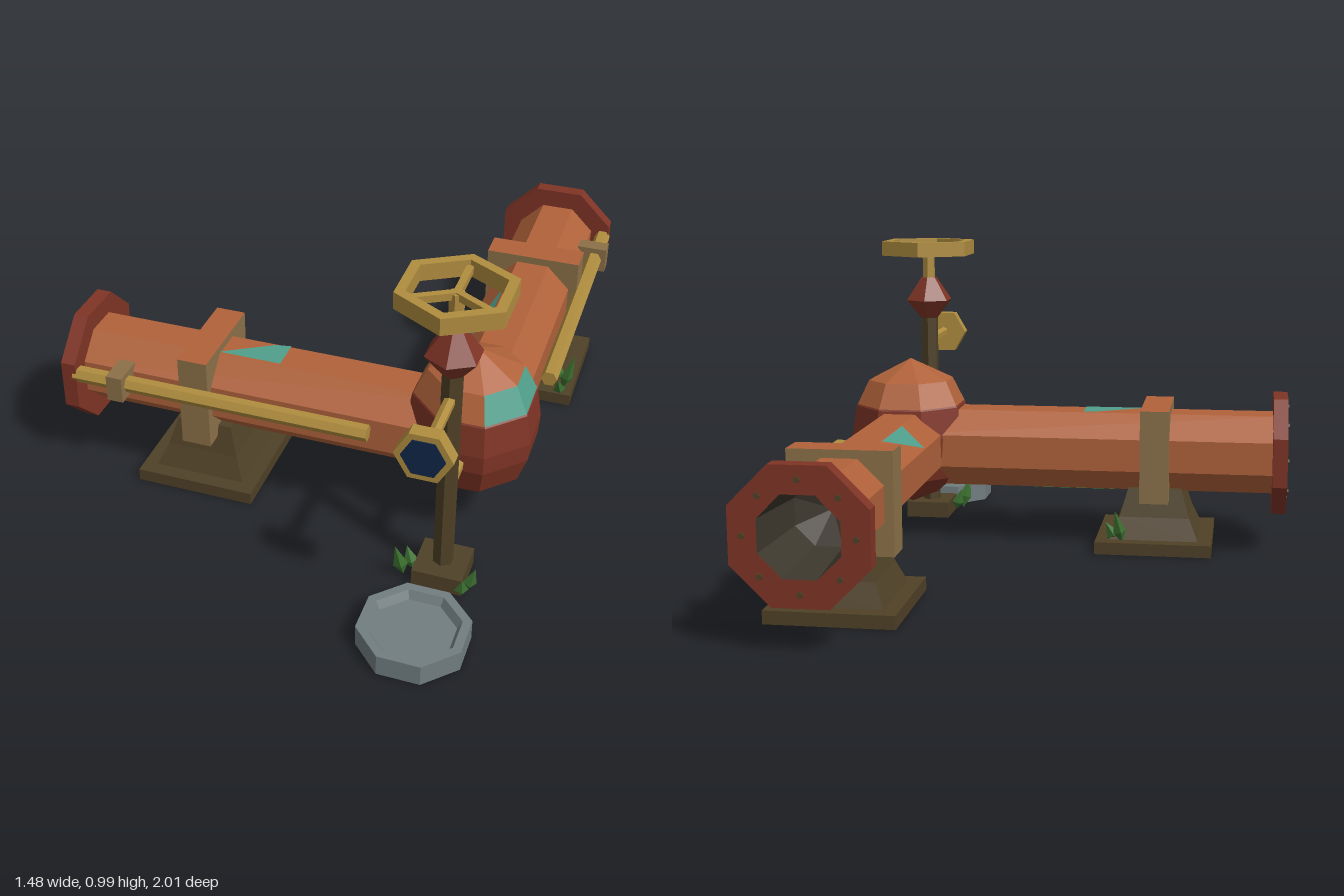
import * as THREE from 'three';

const mat = (name, color, side = THREE.FrontSide) =>
  new THREE.MeshStandardMaterial({ name, color, side, flatShading: true });

export function createModel() {
  const M = {
    copper: mat('copper', 0xb0623a),
    rust: mat('rustRed', 0x7f3425),
    brass: mat('brass', 0xb08d3f),
    tan: mat('tanIron', 0x8c7149),
    dark: mat('darkIron', 0x4f4127),
    bore: mat('boreShadow', 0x3d382d),
    stone: mat('greyStone', 0x717d80),
    glass: mat('navyGlass', 0x0f2748),
    leaf: mat('leafGreen', 0x3c7030, THREE.DoubleSide),
    patina: mat('patinaTeal', 0x509f8c, THREE.DoubleSide),
  };
  const model = new THREE.Group();
  model.name = 'pipeCorner';

  const OCT = 1 / Math.cos(Math.PI / 8); // apothem to corner radius
  const CX = 0.525, CZ = 0.265, CY = 0.318; // centre of the joint
  const AP = 0.128; // pipe apothem

  const add = (parent, name, geo, material, x = 0, y = 0, z = 0) => {
    const m = new THREE.Mesh(geo, material);
    m.name = name;
    m.position.set(x, y, z);
    parent.add(m);
    return m;
  };
  const box = (w, h, d) => new THREE.BoxGeometry(w, h, d);
  const cyl = (r, h, n = 6, r2 = r) => new THREE.CylinderGeometry(r2, r, h, n);
  // Eight-sided lathe with flats facing the axes; profile is [apothem, height]
  const oct = (pts, start = 0, faces = 8) => new THREE.LatheGeometry(
    pts.map(([a, y]) => new THREE.Vector2(a * OCT, y)), faces,
    Math.PI / 8 + start * Math.PI / 4, faces * Math.PI / 4);
  // Square stack; profile is [half width, height]
  const square = (pts) => new THREE.LatheGeometry(
    pts.map(([a, y]) => new THREE.Vector2(a * Math.SQRT2, y)), 4, Math.PI / 4);

  // One pipe run, leaving the joint along local -x, rod on the given side
  const pipeRun = (name, side) => {
    const g = new THREE.Group();
    g.name = name;
    const along = (n, pts, m) => { add(g, n, oct(pts), m, 0, CY, 0).rotation.z = Math.PI / 2; };
    along('pipe', [[AP, 0], [AP, 1.22]], M.copper);
    along('flange', [[AP - 0.01, 1.218], [0.19, 1.218], [0.19, 1.265], [0.112, 1.265]], M.rust);
    along('bore', [[0.112, 1.265], [0.095, 1.0], [0, 0.95]], M.bore);
    for (let i = 0; i < 8; i++) {
      const a = i * Math.PI / 4;
      add(g, 'flangeBolt', cyl(0.009, 0.008), M.dark,
        -1.267, CY + 0.152 * Math.cos(a), 0.152 * Math.sin(a)).rotation.z = Math.PI / 2;
    }
    // Saddle support and strap
    add(g, 'supportBase', box(0.38, 0.04, 0.38), M.dark, -0.837, 0.02, 0);
    add(g, 'supportPedestal', square([[0.145, 0.04], [0.115, 0.11], [0.088, 0.2], [0, 0.2]]),
      M.dark, -0.837, 0, 0);
    add(g, 'strap', box(0.094, 0.306, 0.31),
      [M.tan, M.tan, M.copper, M.tan, M.tan, M.tan], -0.837, 0.318, 0);
    // Side rod and its clip
    add(g, 'sideRod', cyl(0.026, 0.955), M.brass, -0.752, 0.354, side * 0.17).rotation.z = Math.PI / 2;
    add(g, 'rodClip', box(0.052, 0.086, 0.1), M.tan, -1.077, 0.352, side * 0.16);
    g.position.set(CX, 0, CZ);
    model.add(g);
    return g;
  };
  pipeRun('sidePipe', 1);
  pipeRun('rearPipe', -1).rotation.y = -Math.PI / 2;

  // Corner joint: red belly, faceted band, shallow cap
  add(model, 'jointBelly', oct([[0, 0.115], [0.095, 0.16], [0.155, 0.215], [0.183, 0.3],
    [0.186, 0.36], [0.172, 0.455], [0.165, 0.465]]), M.rust, CX, 0, CZ);
  const band = [[0.169, 0.46], [0.132, 0.54]];
  add(model, 'jointBand', oct(band, 2, 6), M.copper, CX, 0, CZ);
  add(model, 'jointBandPatina', oct(band, 0, 2), M.patina, CX, 0, CZ);
  add(model, 'jointCap', oct([[0.132, 0.54], [0, 0.61]]), M.copper, CX, 0, CZ);

  // Flat weathering patches, drawn as fans of corner points
  const patch = (name, pts, material) => {
    const tris = [];
    for (let i = 1; i < pts.length - 1; i++) tris.push(pts[0], pts[i], pts[i + 1]);
    const geo = new THREE.BufferGeometry().setFromPoints(tris.map((p) => new THREE.Vector3(...p)));
    geo.computeVertexNormals();
    add(model, name, geo, material);
  };
  const top = CY + AP + 0.003, under = CY - AP - 0.003;
  patch('topPatina', [[-0.07, top, 0.31], [-0.07, top, 0.21], [-0.12, top, 0.22], [-0.27, top, 0.31]], M.patina);
  const slope = (x, z) => [x - 0.002, CY + 0.055 + x - (CX - AP), z];
  patch('slopePatina', [slope(0.47, -0.106), slope(0.47, -0.36), slope(0.44, -0.25), slope(0.4, -0.106)], M.patina);
  patch('underMoss', [[-0.18, under, 0.22], [0.1, under, 0.22], [0, under, 0.31]], M.leaf);

  // Valve post
  const post = new THREE.Group();
  post.name = 'valvePost';
  post.position.set(CX, 0, 0.562);
  model.add(post);
  add(post, 'postBase', box(0.15, 0.055, 0.15), M.dark, 0, 0.0275, 0);
  add(post, 'post', cyl(0.031, 0.68), M.dark, 0, 0.39, 0);
  add(post, 'valveBody', new THREE.LatheGeometry(
    [[0, 0.705], [0.022, 0.705], [0.083, 0.78], [0.028, 0.86], [0, 0.86]]
      .map((p) => new THREE.Vector2(...p)), 6), M.rust);
  add(post, 'valveStem', cyl(0.022, 0.12), M.brass, 0, 0.91, 0);
  add(post, 'linkRod', cyl(0.021, 0.13), M.brass, 0, 0.322, -0.075).rotation.x = Math.PI / 2;

  // Hexagonal handwheel with three spokes
  add(post, 'handwheelRim', new THREE.LatheGeometry(
    [[0.138, 0.94], [0.17, 0.94], [0.17, 0.99], [0.138, 0.99], [0.138, 0.94]]
      .map((p) => new THREE.Vector2(...p)), 6), M.brass);
  for (let i = 0; i < 3; i++) {
    const a = Math.PI + i * Math.PI * 2 / 3;
    add(post, 'handwheelSpoke', box(0.02, 0.022, 0.15), M.brass,
      Math.sin(a) * 0.075, 0.963, Math.cos(a) * 0.075).rotation.y = a;
  }

  // Gauge on a horizontal arm
  add(post, 'gaugeArm', cyl(0.017, 0.25), M.brass, 0, 0.638, 0.125).rotation.x = Math.PI / 2;
  const hexFront = (name, r, h, m, z) => {
    add(post, name, cyl(r, h).rotateY(Math.PI / 6).rotateX(Math.PI / 2), m, 0, 0.637, z);
  };
  hexFront('gaugeCase', 0.081, 0.043, M.brass, 0.26);
  hexFront('gaugeFace', 0.061, 0.006, M.glass, 0.282);

  // Shallow drain basin
  add(model, 'basin', oct([[0, 0], [0.15, 0], [0.15, 0.065], [0.125, 0.065],
    [0.112, 0.04], [0, 0.04]]), M.stone, 0.52, 0, 0.85);

  // Leaf tufts: flattened four-sided blades, [x, y, z, height, lean x, lean z]
  const leaves = [
    [-0.21, 0.03, 0.12, 0.12, -0.2, -0.2], [-0.19, 0.03, 0.14, 0.08, -0.1, -0.5],
    [0.68, 0.03, -0.43, 0.15, 0.15, -0.25], [0.66, 0.03, -0.46, 0.1, -0.3, 0.15],
    [0.68, 0.03, -0.4, 0.08, 0.4, 0.1],
    [0.42, 0.01, 0.61, 0.12, 0.1, 0.2], [0.44, 0.01, 0.58, 0.08, -0.2, 0.3],
    [0.61, 0.01, 0.62, 0.1, 0.2, -0.3], [0.6, 0.01, 0.64, 0.07, 0.3, -0.1],
  ];
  for (const [x, y, z, h, lx, lz] of leaves) {
    const blade = new THREE.LatheGeometry([[0, 0], [0.022, h * 0.35], [0, h]]
      .map((p) => new THREE.Vector2(...p)), 4).scale(1, 1, 0.7);
    add(model, 'leaf', blade, M.leaf, x, y, z).rotation.set(lx, 0.4, lz);
  }
  return model;
}
